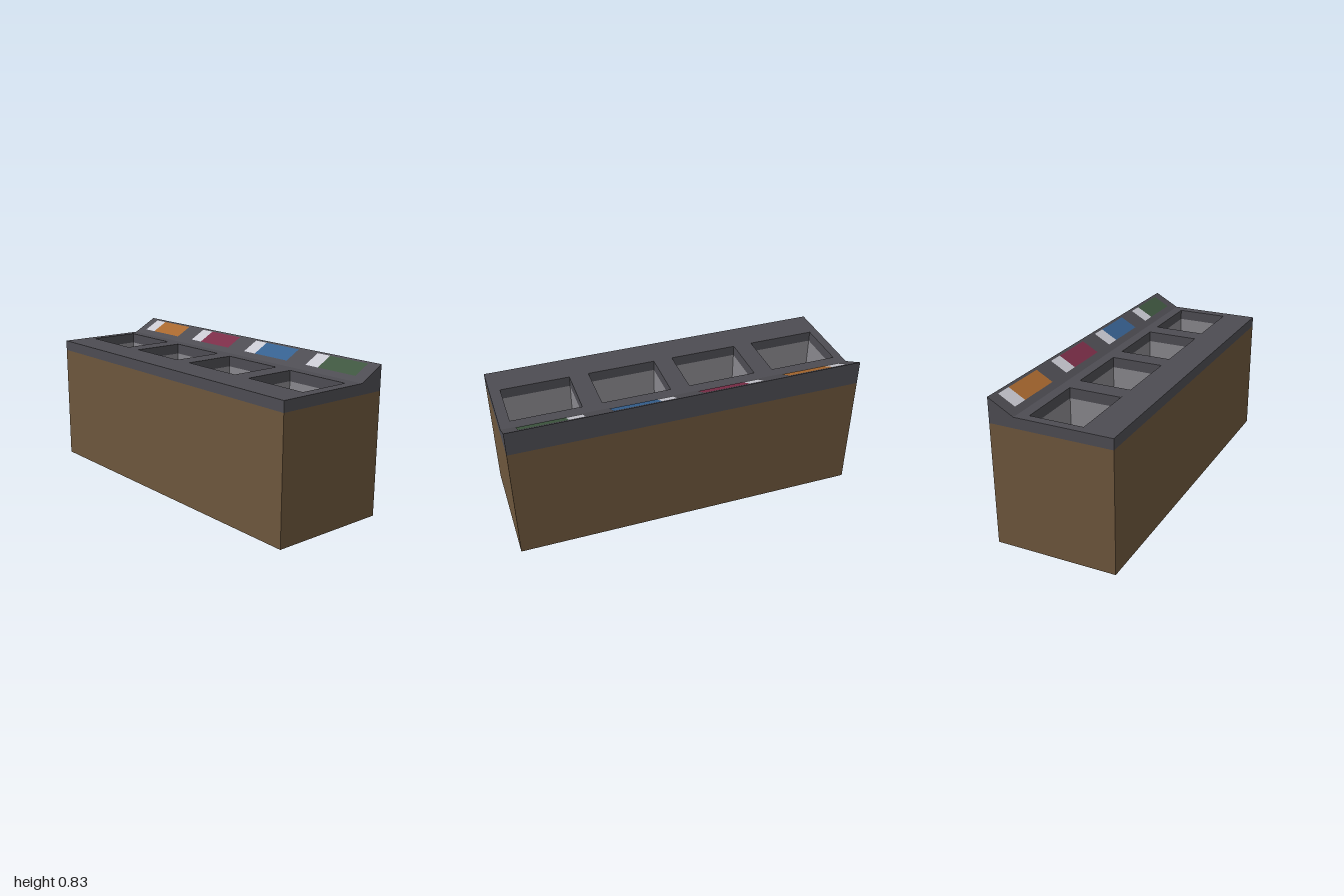
import * as THREE from 'three';

const mat = (name, color) => {
  const m = new THREE.MeshStandardMaterial({ color });
  m.name = name;
  return m;
};

// Box without its top face
function openBox(w, h, d) {
  const g = new THREE.BoxGeometry(w, h, d);
  const index = Array.from(g.index.array);
  index.splice(12, 6);
  g.setIndex(index);
  g.clearGroups();
  return g;
}

export function createModel() {
  const model = new THREE.Group();
  model.name = 'sortingCounter';
  const wood = mat('wood brown', 0x6d563c);
  const dark = mat('counter grey', 0x4d4c52);
  const grey = mat('bin grey', 0x88878c);
  grey.side = THREE.DoubleSide;
  const white = mat('tag white', 0xc8c8d0);
  const labels = [
    mat('label orange', 0xa8682f), mat('label red', 0x7b2e48),
    mat('label blue', 0x36608f), mat('label green', 0x3f5640),
  ];
  const add = (name, geometry, material, x = 0, y = 0, z = 0) => {
    const mesh = new THREE.Mesh(geometry, material);
    mesh.name = name;
    mesh.position.set(x, y, z);
    model.add(mesh);
    return mesh;
  };
  const D = 0.345, bodyH = 0.69, topH = 0.75, backH = 0.83, foldZ = -0.2;
  const holeW = 0.39, holeD = 0.3, holeZ = 0.01, binDepth = 0.3;
  const holeX = i => -0.755 + 0.5 * i;

  // Cabinet
  add('cabinet', openBox(2, bodyH, 2 * D), wood, 0, bodyH / 2);

  // Countertop with four openings
  const top = new THREE.Shape([[-1, -D], [1, -D], [1, D], [-1, D]].map(p => new THREE.Vector2(...p)));
  for (let i = 0; i < 4; i++) {
    const x0 = holeX(i) - holeW / 2, x1 = x0 + holeW;
    const y0 = -holeZ - holeD / 2, y1 = y0 + holeD;
    top.holes.push(new THREE.Path([[x0, y0], [x0, y1], [x1, y1], [x1, y0]].map(p => new THREE.Vector2(...p))));
  }
  const topGeo = new THREE.ExtrudeGeometry(top, { depth: topH - bodyH, bevelEnabled: false });
  topGeo.rotateX(-Math.PI / 2);
  add('countertop', topGeo, dark, 0, bodyH);

  // Sloped sign rail along the back
  const wedge = new THREE.Shape([[-foldZ, topH], [D, topH], [D, backH]].map(p => new THREE.Vector2(...p)));
  const wedgeGeo = new THREE.ExtrudeGeometry(wedge, { depth: 2, bevelEnabled: false });
  wedgeGeo.translate(0, 0, -1).rotateY(Math.PI / 2);
  add('signRail', wedgeGeo, dark);

  // Bins and the signs above them
  const slope = Math.atan2(backH - topH, D + foldZ);
  const signZ = -0.283, signY = topH + (foldZ - signZ) * Math.tan(slope);
  const sign = (name, x, w, material) => {
    const g = new THREE.PlaneGeometry(w, 0.108);
    g.rotateX(slope - Math.PI / 2);
    add(name, g, material, x + w / 2, signY + 0.002 * Math.cos(slope), signZ + 0.002 * Math.sin(slope));
  };
  labels.forEach((label, i) => {
    add('bin' + (i + 1), openBox(holeW, binDepth, holeD), grey, holeX(i), bodyH - binDepth / 2, holeZ);
    const x = -0.93 + 0.5 * i;
    sign('signTag' + (i + 1), x, 0.092, white);
    sign('signLabel' + (i + 1), x + 0.092, 0.263, label);
  });
  return model;
}
